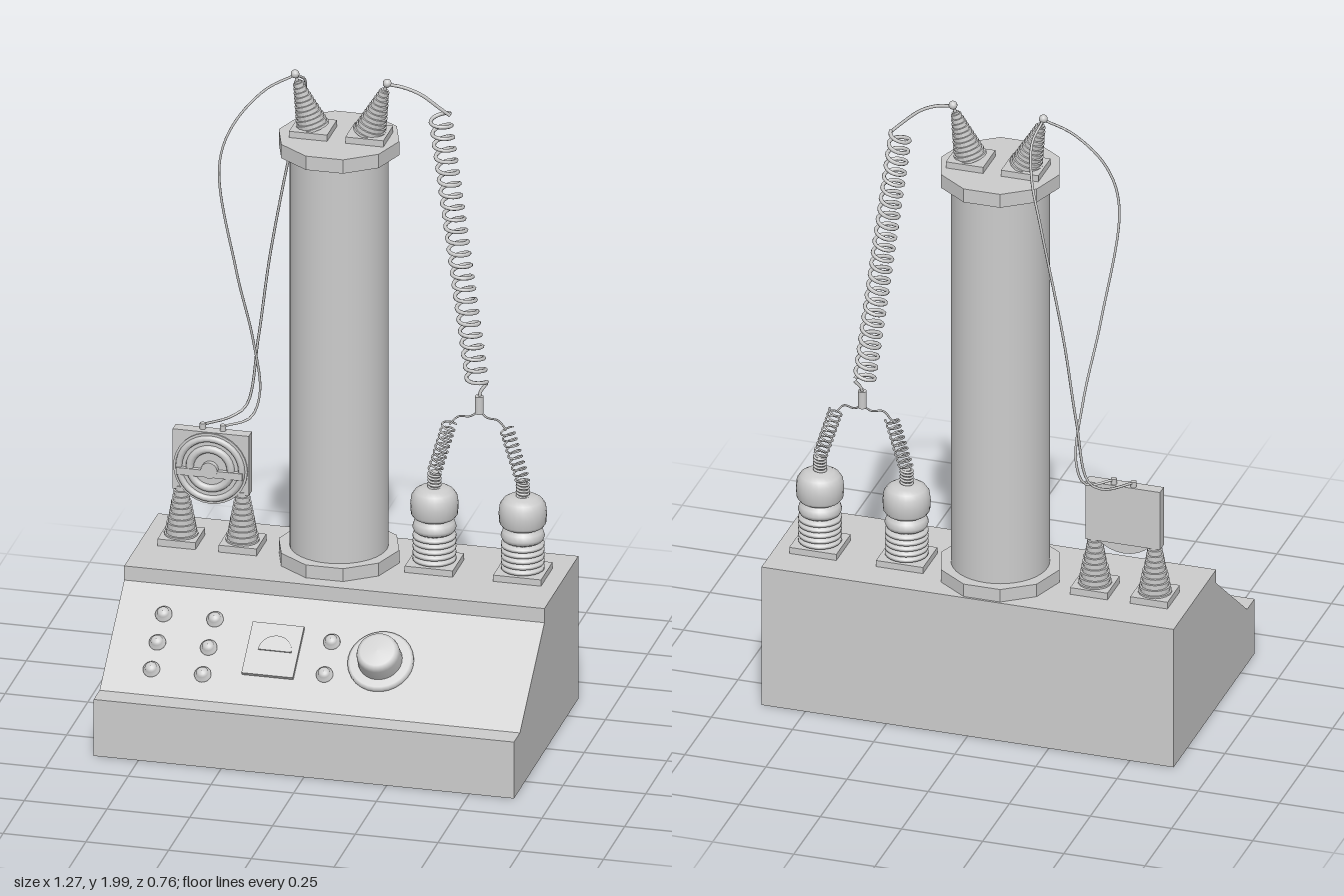
import * as THREE from 'three';

const grey = new THREE.MeshStandardMaterial({ color: 0xcccccc });
const flat = new THREE.MeshStandardMaterial({ color: 0xcccccc, flatShading: true });
const V = (x, y, z) => new THREE.Vector3(x, y, z);
const Z = -0.205; // row on which everything on the deck stands

function add(parent, name, geometry, x = 0, y = 0, z = 0, material = grey) {
  const m = new THREE.Mesh(geometry, material);
  m.name = name;
  m.position.set(x, y, z);
  parent.add(m);
  return m;
}

function group(parent, name, x, y, z) {
  const g = new THREE.Group();
  g.name = name;
  g.position.set(x, y, z);
  parent.add(g);
  return g;
}

const lathe = (pts, n = 20) => new THREE.LatheGeometry(pts.map(p => new THREE.Vector2(...p)), n);

// Thin wire through a few points
function wire(parent, name, pts, r = 0.004) {
  const curve = new THREE.CatmullRomCurve3(pts.map(p => V(...p)));
  return add(parent, name, new THREE.TubeGeometry(curve, 60, r, 6));
}

// Helical spring between two points
class Helix extends THREE.Curve {
  constructor(a, b, r, turns) {
    super();
    Object.assign(this, { a, b, r, turns });
    this.q = new THREE.Quaternion().setFromUnitVectors(V(0, 1, 0), b.clone().sub(a).normalize());
  }
  getPoint(t, target = V(0, 0, 0)) {
    const w = t * this.turns * Math.PI * 2;
    const off = V(Math.cos(w) * this.r, 0, Math.sin(w) * this.r).applyQuaternion(this.q);
    return target.copy(this.a).lerp(this.b, t).add(off);
  }
}
function spring(parent, name, a, b, r, turns, wireR) {
  const h = new Helix(V(...a), V(...b), r, turns);
  h.arcLengthDivisions = turns * 24;
  return add(parent, name, new THREE.TubeGeometry(h, turns * 18, wireR, 6));
}

// Ridged, tapering insulator on a square foot
function insulator(parent, name, x, y, height, tilt, ball) {
  const g = group(parent, name, x, y, Z);
  add(g, 'foot', new THREE.BoxGeometry(0.115, 0.022, 0.115), 0, 0.011, 0);
  const pts = [[0, 0]], n = 11;
  for (let i = 0; i < n; i++) {
    const r = 0.05 - 0.034 * i / (n - 1), h = height / n;
    pts.push([r, i * h], [r, (i + 0.55) * h], [r - 0.005, (i + 0.6) * h], [r - 0.005, (i + 1) * h]);
  }
  pts.push([0, height]);
  const body = group(g, 'ridgedBody', 0, 0.018, 0);
  body.rotation.z = tilt;
  add(body, 'ridges', lathe(pts, 18), 0, 0, 0, flat);
  if (ball) {
    add(body, 'stem', new THREE.CylinderGeometry(0.005, 0.005, 0.03, 8), 0, height + 0.01, 0);
    add(body, 'terminalBall', new THREE.SphereGeometry(0.013, 12, 8), 0, height + 0.022, 0);
  }
}

// Domed bushing with ribbed neck
function bushing(parent, x) {
  const g = group(parent, 'bushing', x, 0.455, Z);
  add(g, 'foot', new THREE.BoxGeometry(0.145, 0.02, 0.135), 0, 0.01, 0);
  const pts = [[0, 0.02]];
  for (let i = 0; i < 5; i++) {
    const y = 0.02 + i * 0.018;
    pts.push([0.052, y], [0.064, y + 0.004], [0.064, y + 0.012], [0.052, y + 0.017]);
  }
  pts.push([0.05, 0.112], [0.06, 0.116], [0.065, 0.128], [0.06, 0.144], [0.05, 0.15], [0.05, 0.158],
    [0.062, 0.16], [0.069, 0.17], [0.071, 0.2], [0.068, 0.225], [0.058, 0.24], [0.042, 0.25], [0, 0.255]);
  add(g, 'ribbedBody', lathe(pts, 24));
  add(g, 'stud', new THREE.CylinderGeometry(0.013, 0.013, 0.05, 10), 0, 0.275, 0);
  spring(g, 'studCoil', [0, 0.25, 0], [0, 0.3, 0], 0.017, 5, 0.004);
}

// Round parts on the panel face outward along local z
function panelRound(parent, name, pts, x, y, n = 20) {
  add(parent, name, lathe(pts, n), x, y, 0).rotation.x = Math.PI / 2;
}

export function createModel() {
  const model = new THREE.Group();
  model.name = 'highVoltageApparatus';

  // Console housing: side profile extruded along x
  const profile = new THREE.Shape([[-0.38, 0], [0.38, 0], [0.38, 0.18], [0.31, 0.18], [0.02, 0.41],
    [0.02, 0.455], [-0.38, 0.455]].map(p => new THREE.Vector2(...p)));
  const housing = new THREE.ExtrudeGeometry(profile, { depth: 1.27, bevelEnabled: false });
  housing.rotateY(-Math.PI / 2).scale(1, 1, 1).translate(0.635, 0, 0);
  add(model, 'consoleHousing', housing);

  // Sloped control panel
  const panel = group(model, 'controlPanel', 0, 0.295, 0.165);
  panel.rotation.x = -Math.atan2(0.29, 0.23);
  const button = [[0.025, 0], [0.025, 0.006], [0.019, 0.008], [0.018, 0.016], [0.011, 0.023], [0, 0.025]];
  for (const x of [-0.495, -0.34]) for (const y of [0.085, -0.01, -0.1]) panelRound(panel, 'button', button, x, y);
  for (const y of [0.05, -0.06]) panelRound(panel, 'indicator', button, 0.02, y);
  add(panel, 'meterPlate', new THREE.BoxGeometry(0.155, 0.172, 0.024), -0.147, 0, 0);
  const dial = new THREE.Shape();
  dial.absarc(0, 0, 0.05, 0, Math.PI, false);
  dial.closePath();
  const window = new THREE.ExtrudeGeometry(dial, { depth: 0.004, bevelEnabled: false, curveSegments: 12 });
  add(panel, 'meterWindow', window, -0.14, -0.005, 0.012);
  panelRound(panel, 'knobSkirt', [[0.098, 0], [0.098, 0.01], [0.09, 0.015], [0, 0.015]], 0.178, 0, 28);
  panelRound(panel, 'knob', [[0.066, 0.013], [0.064, 0.055], [0.06, 0.068], [0.05, 0.073], [0, 0.075]], 0.178, 0, 28);

  // Coil tower with ten-sided end caps
  const tower = group(model, 'tower', -0.042, 0, -0.2);
  add(tower, 'column', new THREE.CylinderGeometry(0.145, 0.145, 1.29, 40), 0, 1.12, 0);
  for (const y of [0.474, 1.778]) {
    const cap = add(tower, 'endCap', new THREE.CylinderGeometry(0.182, 0.182, 0.044, 10), 0, y, 0, flat);
    cap.rotation.y = Math.PI / 2;
  }
  insulator(model, 'topInsulator', -0.122, 1.798, 0.15, 0.32, true);
  insulator(model, 'topInsulator', 0.048, 1.798, 0.15, -0.32, true);

  // Spark gap on two insulators
  for (const x of [-0.52, -0.335]) insulator(model, 'gapInsulator', x, 0.455, 0.185, 0, false);
  const gap = group(model, 'sparkGap', -0.427, 0.702, -0.207);
  add(gap, 'backPlate', new THREE.BoxGeometry(0.23, 0.19, 0.036), 0, 0.018, 0);
  const face = add(gap, 'disc', new THREE.CylinderGeometry(0.112, 0.112, 0.03, 32), 0, 0, 0.008);
  face.rotation.x = Math.PI / 2;
  add(gap, 'outerRing', new THREE.TorusGeometry(0.095, 0.01, 8, 32), 0, 0, 0.024);
  add(gap, 'innerRing', new THREE.TorusGeometry(0.062, 0.012, 8, 28), 0, 0, 0.024);
  add(gap, 'crossBar', new THREE.BoxGeometry(0.2, 0.022, 0.014), 0, -0.012, 0.03);
  const hub = add(gap, 'hub', new THREE.CylinderGeometry(0.025, 0.025, 0.02, 16), 0, 0, 0.03);
  hub.rotation.x = Math.PI / 2;
  for (const x of [-0.03, 0.031]) {
    add(gap, 'terminal', new THREE.CylinderGeometry(0.009, 0.009, 0.022, 10), x, 0.12, -0.006);
  }

  // Bushings, their springs and the joint where they meet
  const joint = [0.375, 0.955, -0.225];
  for (const [x, top] of [[0.245, 0.29], [0.512, 0.462]]) {
    bushing(model, x);
    spring(model, 'smallSpring', [x, 0.755, Z], [top, 0.915, -0.208], 0.02, 9, 0.003);
    wire(model, 'jointWire', [[top, 0.91, -0.208], [top + (0.375 - top) * 0.3, 0.937, -0.21],
      [top + (0.375 - top) * 0.7, 0.938, -0.22], joint], 0.003);
  }
  add(model, 'joint', new THREE.CylinderGeometry(0.013, 0.013, 0.055, 12), 0.375, 0.975, -0.225);

  // Long spring up to the right-hand top terminal
  spring(model, 'longSpring', [0.365, 1.04, -0.24], [0.252, 1.88, -0.242], 0.03, 23, 0.006);
  wire(model, 'springTail', [[0.375, 0.99, -0.225], [0.378, 1.015, -0.23], [0.395, 1.04, -0.24]], 0.005);
  wire(model, 'springLead', [[0.282, 1.88, -0.242], [0.255, 1.905, -0.23], [0.2, 1.95, -0.215],
    [0.15, 1.97, -0.207], [0.104, 1.976, Z]], 0.005);

  // Two slack leads from the other top terminal to the spark gap
  wire(model, 'outerLead', [[-0.176, 1.976, Z], [-0.26, 1.93, -0.18], [-0.35, 1.82, -0.145], [-0.388, 1.69, -0.138],
    [-0.35, 1.34, -0.19], [-0.315, 1.1, -0.25], [-0.304, 0.91, -0.288], [-0.33, 0.835, -0.28], [-0.396, 0.828, -0.213]]);
  wire(model, 'innerLead', [[-0.176, 1.976, Z], [-0.165, 1.93, -0.28], [-0.185, 1.84, -0.34], [-0.22, 1.72, -0.37],
    [-0.288, 1.34, -0.355], [-0.32, 1.07, -0.335], [-0.35, 0.86, -0.31], [-0.39, 0.83, -0.285], [-0.457, 0.828, -0.213]]);

  return model;
}
